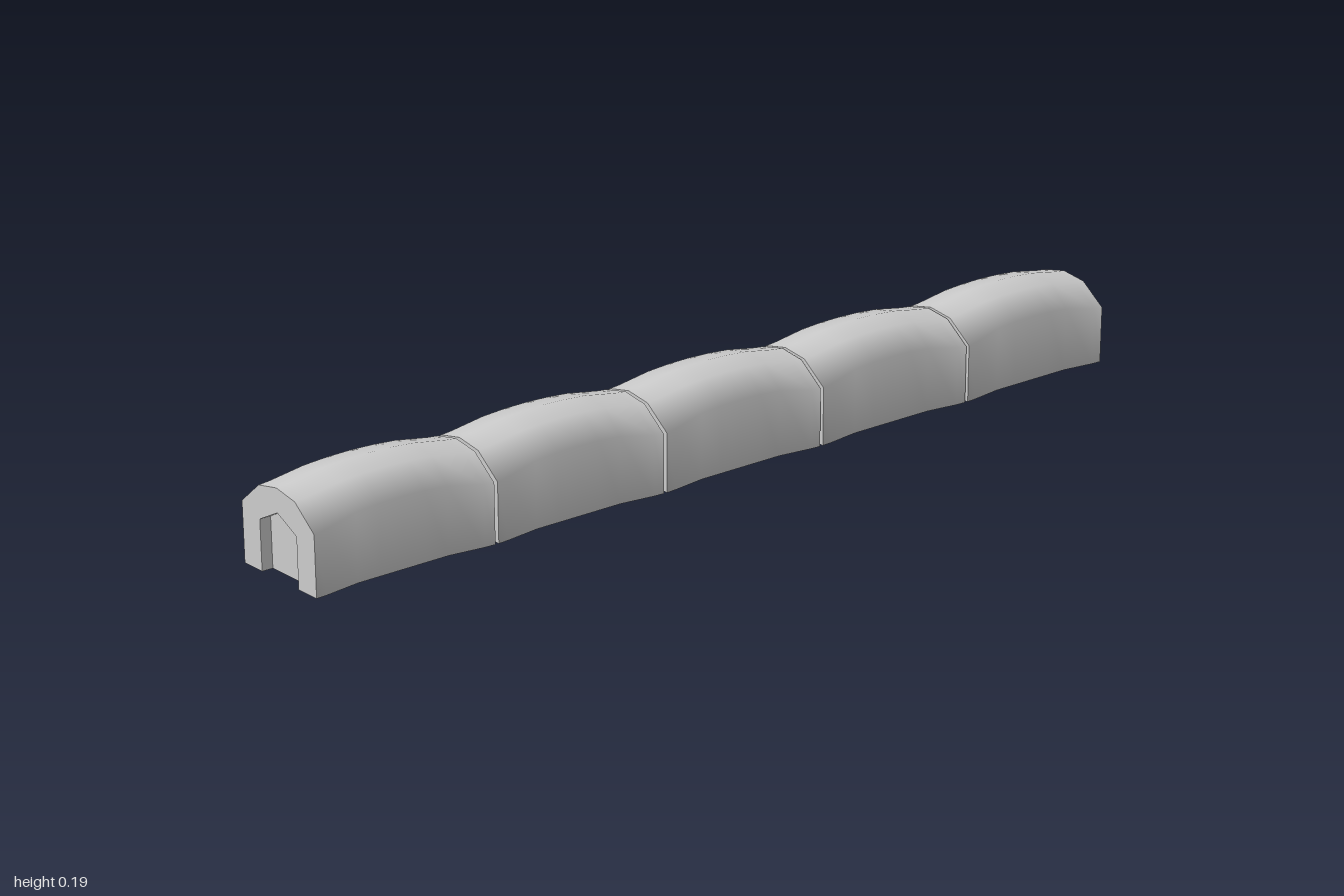
import * as THREE from 'three';

const HALF = 0.197;             // half length of one segment
const RECESS = 0.023;           // depth of the socket in each end
const COUNT = 5;
const PITCH = (2 - 2 * HALF) / (COUNT - 1);

// house-shaped socket outline, as [z, y]
const SOCKET = [[0.057, 0], [0.057, 0.1], [0, 0.128], [-0.057, 0.1], [-0.057, 0]];

// outer outline for a waist (0..1) and a rise (0..1), as [z, y]
function outline(waist, rise) {
  const w = 0.112 - 0.012 * waist, up = 0.0185 * rise;
  return [
    [0.057, 0], [w, 0], [w, 0.12 + up], [0.056, 0.165 + up], [0, 0.175 + up],
    [-0.056, 0.165 + up], [-w, 0.12 + up], [-w, 0], [-0.057, 0],
  ];
}

function bufferGeometry(positions, indices) {
  const g = new THREE.BufferGeometry();
  g.setAttribute('position', new THREE.Float32BufferAttribute(positions, 3));
  g.setIndex(indices);
  g.computeVertexNormals();
  return g;
}

// smooth bulging skin, left open underneath at the sockets
function shellGeometry() {
  const sections = [ // x, waist, rise
    [-HALF, 0, 0], [-HALF + RECESS, 0.12, 0.12], [-0.1, 1, 0.75], [-0.05, 1, 0.94], [0, 1, 1],
    [0.05, 1, 0.94], [0.1, 1, 0.75], [HALF - RECESS, 0.12, 0.12], [HALF, 0, 0],
  ];
  const pos = [], idx = [], n = 9;
  for (const [x, waist, rise] of sections) {
    for (const [z, y] of outline(waist, rise)) pos.push(x, y, z);
  }
  for (let s = 0; s < sections.length - 1; s++) {
    const atEnd = s === 0 || s === sections.length - 2;
    for (let i = 0; i < n; i++) {
      if (atEnd && i === n - 1) continue;
      const j = (i + 1) % n;
      const a = s * n + i, b = s * n + j, c = a + n, d = b + n;
      idx.push(a, c, b, b, c, d);
    }
  }
  return bufferGeometry(pos, idx);
}

// side walls of a socket, running inwards from the +x end
function socketWallGeometry() {
  const pos = [], idx = [];
  for (const [z, y] of SOCKET) pos.push(HALF, y, z, HALF - RECESS, y, z);
  for (let i = 0; i < SOCKET.length - 1; i++) {
    const a = 2 * i;
    idx.push(a, a + 1, a + 2, a + 2, a + 1, a + 3);
  }
  return bufferGeometry(pos, idx);
}

// flat face looking towards +x
function faceGeometry(points, x) {
  const shape = new THREE.Shape(points.map(([z, y]) => new THREE.Vector2(z, y)));
  return new THREE.ShapeGeometry(shape).rotateY(Math.PI / 2).translate(x, 0, 0);
}

export function createModel() {
  const model = new THREE.Group();
  model.name = 'segmentedBeam';
  const smooth = new THREE.MeshStandardMaterial({ color: 0xcccccc });
  const flat = new THREE.MeshStandardMaterial({
    color: 0xcccccc, flatShading: true, side: THREE.DoubleSide,
  });

  const shell = shellGeometry();
  const endParts = {
    endFace: faceGeometry([...outline(0, 0), ...SOCKET.slice(1, -1).reverse()], HALF),
    socketBack: faceGeometry(SOCKET, HALF - RECESS),
    socketWalls: socketWallGeometry(),
  };

  for (let k = 0; k < COUNT; k++) {
    const segment = new THREE.Group();
    segment.name = 'segment' + (k + 1);
    segment.position.x = (k - (COUNT - 1) / 2) * PITCH;

    const skin = new THREE.Mesh(shell, smooth);
    skin.name = 'shell';
    segment.add(skin);

    // the same end turned round for the other side
    for (const [side, turn] of [['left', 0], ['right', Math.PI]]) {
      const end = new THREE.Group();
      end.name = side + 'End';
      end.rotation.y = turn;
      for (const [name, geometry] of Object.entries(endParts)) {
        const mesh = new THREE.Mesh(geometry, flat);
        mesh.name = name;
        end.add(mesh);
      }
      segment.add(end);
    }
    model.add(segment);
  }
  return model;
}
